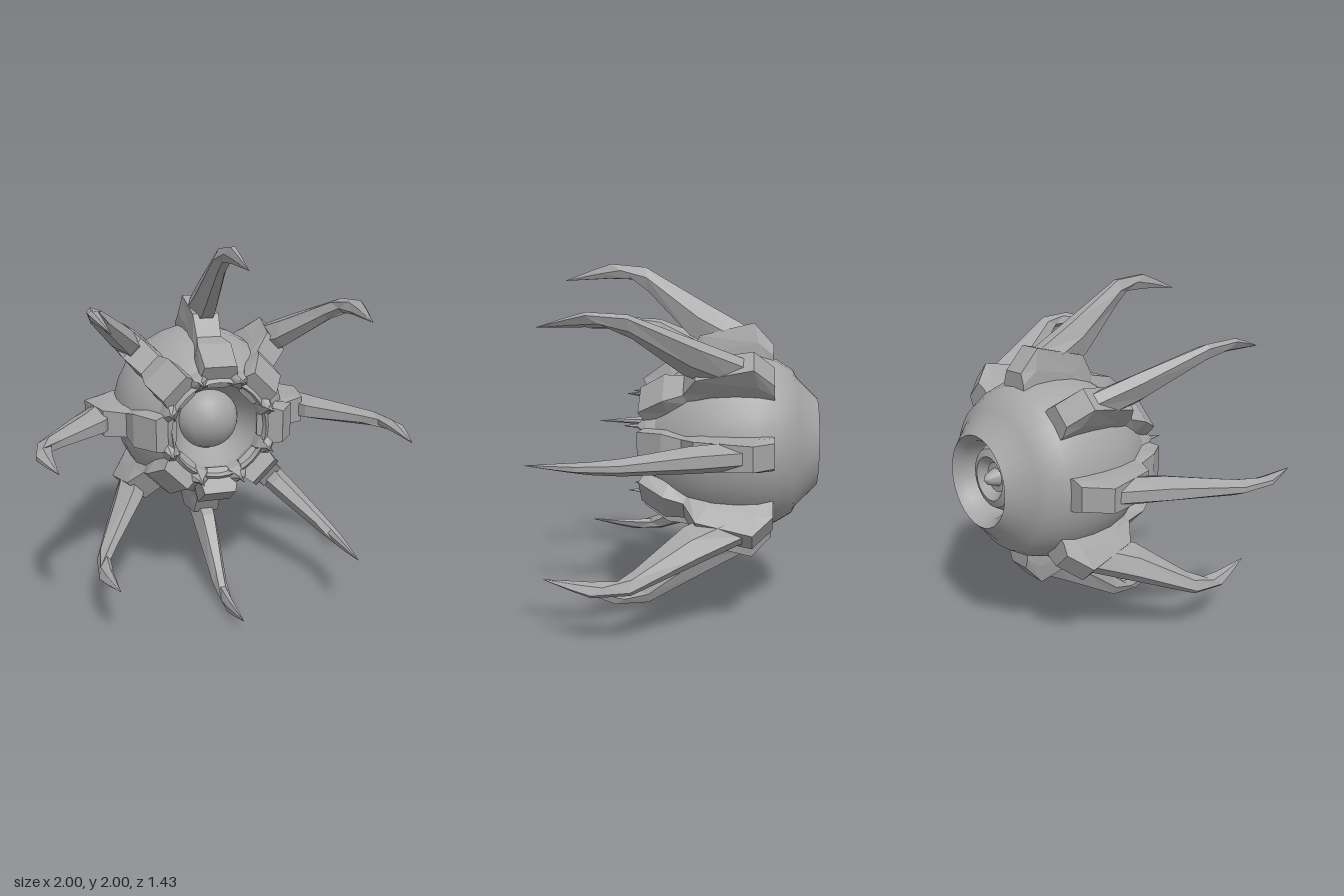
import * as THREE from 'three';
import { toCreasedNormals } from 'three/addons/utils/BufferGeometryUtils.js';

// Loft through rings of [x, y, z] points listed from back to front, capped at both ends
function loft(rings) {
  const n = rings[0].length, pos = [];
  const tri = (a, b, c) => pos.push(...a, ...b, ...c);
  for (let i = 0; i < rings.length - 1; i++) {
    for (let j = 0; j < n; j++) {
      const k = (j + 1) % n, A = rings[i], B = rings[i + 1];
      tri(A[j], A[k], B[k]);
      tri(A[j], B[k], B[j]);
    }
  }
  const first = rings[0], last = rings[rings.length - 1];
  for (let j = 1; j < n - 1; j++) {
    tri(first[0], first[j + 1], first[j]);
    tri(last[0], last[j], last[j + 1]);
  }
  const g = new THREE.BufferGeometry();
  g.setAttribute('position', new THREE.Float32BufferAttribute(pos, 3));
  g.computeVertexNormals();
  return g;
}

// Six-sided section from outer point, inner point and three half widths (outer, middle, inner)
function section([ro, zo, ri, zi, wo, wm, wi]) {
  const rm = ro * 0.55 + ri * 0.45, zm = zo * 0.55 + zi * 0.45;
  return [[ro, -wo, zo], [ro, wo, zo], [rm, wm, zm], [ri, wi, zi], [ri, -wi, zi], [rm, -wm, zm]];
}

export function createModel() {
  const grey = new THREE.MeshStandardMaterial({ color: 0xa6a6a6 });
  grey.name = 'grey';
  const model = new THREE.Group();
  const core = new THREE.Group();
  core.name = 'core';
  core.position.y = 1;
  model.add(core);
  const add = (parent, geo, name) => {
    const m = new THREE.Mesh(geo, grey);
    m.name = name;
    parent.add(m);
    return m;
  };

  // Body turned around z: back nub and socket, outer shell, front mouth and its dome
  const profile = [
    [0, -0.68], [0.03, -0.655], [0.05, -0.6], [0.08, -0.6], [0.12, -0.645], [0.16, -0.63], [0.195, -0.57],
    [0.21, -0.67], [0.25, -0.72], [0.37, -0.6], [0.41, -0.58], [0.465, -0.49], [0.495, -0.39], [0.5, -0.27],
    [0.49, -0.14], [0.455, -0.02], [0.4, 0.08], [0.33, 0.18], [0.27, 0.24],
    [0.235, 0.1], [0.175, 0], [0.16, 0.04], [0.12, 0.085], [0.06, 0.115], [0, 0.125],
  ].map(([r, z]) => new THREE.Vector2(r, z));
  const body = new THREE.LatheGeometry(profile, 32).rotateX(Math.PI / 2);
  add(core, toCreasedNormals(body, 0.6), 'body');

  // Sheath: back end, front lip, recessed neck, flared head
  const sheath = loft([
    [0.55, -0.47, 0.42, -0.47, 0.065, 0.085, 0.085],
    [0.67, -0.36, 0.42, -0.42, 0.065, 0.085, 0.09],
    [0.6, -0.06, 0.4, -0.2, 0.075, 0.085, 0.09],
    [0.48, 0.01, 0.36, -0.05, 0.07, 0.085, 0.1],
    [0.46, 0.12, 0.26, 0.05, 0.095, 0.105, 0.07],
    [0.36, 0.26, 0.23, 0.19, 0.09, 0.105, 0.055],
  ].map(section));

  // Claw: swept outward, then bent forward to a point
  const claw = loft([
    [0.64, -0.34, 0.5, -0.2, 0.03, 0.075, 0.05],
    [0.78, -0.09, 0.6, 0, 0.03, 0.068, 0.035],
    [0.98, 0.25, 0.85, 0.24, 0.015, 0.042, 0.02],
    [1.0, 0.45, 0.915, 0.32, 0.012, 0.03, 0.015],
    [0.965, 0.56, 0.92, 0.46, 0.008, 0.02, 0.01],
    [0.91, 0.71, 0.908, 0.71, 0.001, 0.001, 0.001],
  ].map(section));

  // Tooth: wedge on the rim drawn out to a thin spike
  const tooth = loft([
    [0.35, 0.1, 0.24, 0.1, 0.06, 0.07, 0.05],
    [0.33, 0.22, 0.25, 0.21, 0.045, 0.055, 0.035],
    [0.31, 0.265, 0.285, 0.265, 0.008, 0.012, 0.008],
    [0.301, 0.345, 0.299, 0.345, 0.001, 0.001, 0.001],
  ].map(section));

  // Eight arms with a tooth between each pair
  for (let i = 0; i < 8; i++) {
    const arm = new THREE.Group();
    arm.name = 'arm' + (i + 1);
    arm.rotation.z = i * Math.PI / 4;
    add(arm, sheath, 'sheath');
    add(arm, claw, 'claw');
    add(arm, tooth, 'tooth').rotation.z = Math.PI / 8;
    core.add(arm);
  }
  return model;
}
